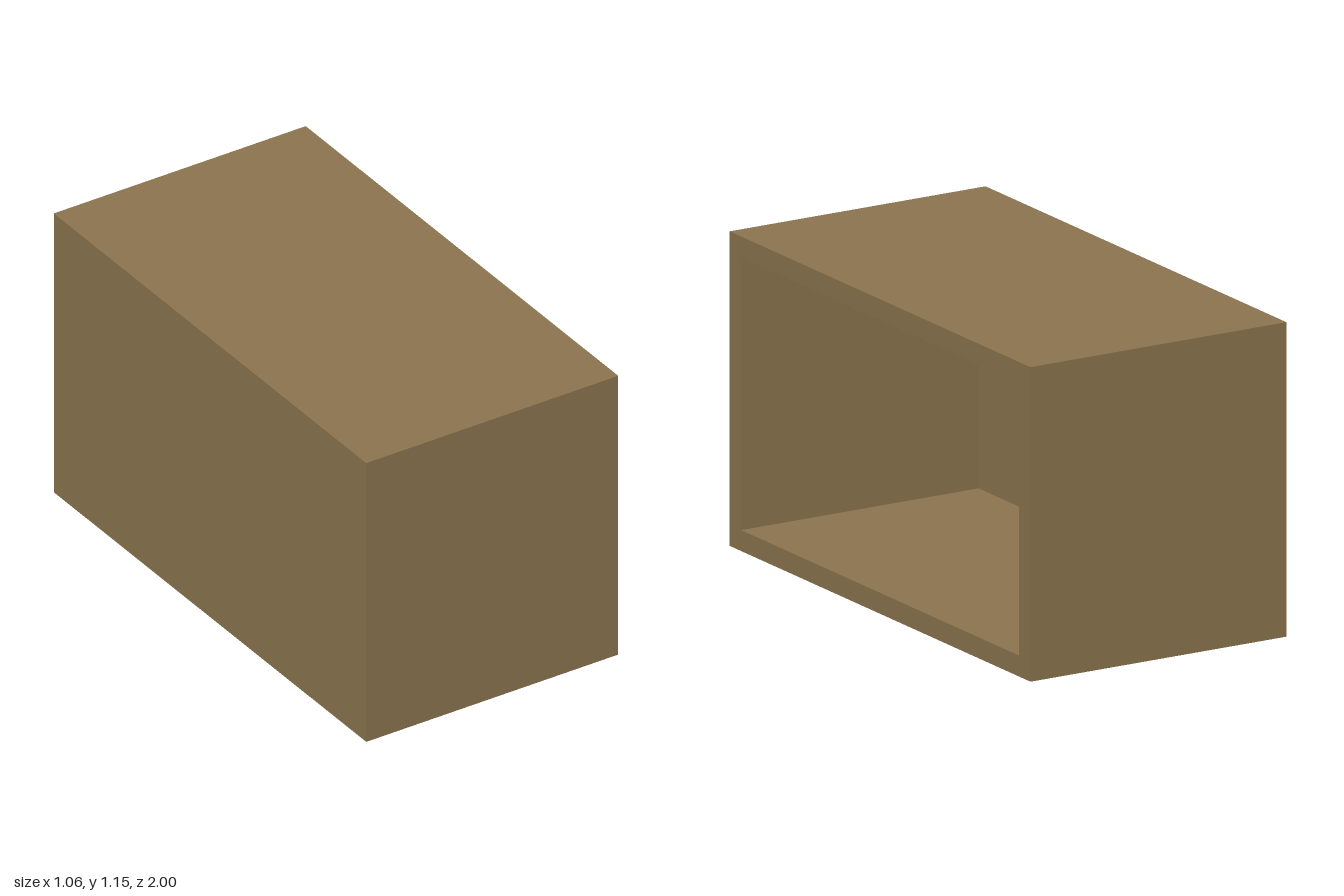
import * as THREE from 'three';

const W = 1.062, H = 1.154, D = 2, WALL = 0.077;

// Box without its +x face; inward turns the remaining faces to look inside
function openBox(w, h, d, inward) {
  const geo = new THREE.BoxGeometry(w, h, d);
  const index = Array.from(geo.index.array).slice(6);
  geo.setIndex(inward ? index.reverse() : index);
  if (inward) {
    const n = geo.attributes.normal;
    for (let i = 0; i < n.count; i++) n.setXYZ(i, -n.getX(i), -n.getY(i), -n.getZ(i));
  }
  geo.clearGroups();
  return geo;
}

// Counter-clockwise rectangle centred on the origin
function rectangle(Type, w, h) {
  const x = w / 2, y = h / 2;
  return new Type([[-x, -y], [x, -y], [x, y], [-x, y]].map(([a, b]) => new THREE.Vector2(a, b)));
}

export function createModel() {
  const group = new THREE.Group();
  group.name = 'openCrate';
  const wood = new THREE.MeshStandardMaterial({ color: 0x8c754f });
  wood.name = 'brown wood';

  const add = (name, geo, x) => {
    const mesh = new THREE.Mesh(geo, wood);
    mesh.name = name;
    mesh.position.set(x, H / 2, 0);
    group.add(mesh);
  };

  // Outside walls, inside walls and the rim joining them around the opening
  const innerH = H - 2 * WALL, innerD = D - 2 * WALL;
  add('outerWalls', openBox(W, H, D, false), 0);
  add('innerWalls', openBox(W - WALL, innerH, innerD, true), WALL / 2);

  const rim = rectangle(THREE.Shape, D, H);
  rim.holes.push(rectangle(THREE.Path, innerD, innerH));
  add('openingRim', new THREE.ShapeGeometry(rim).rotateY(Math.PI / 2), W / 2);

  return group;
}
